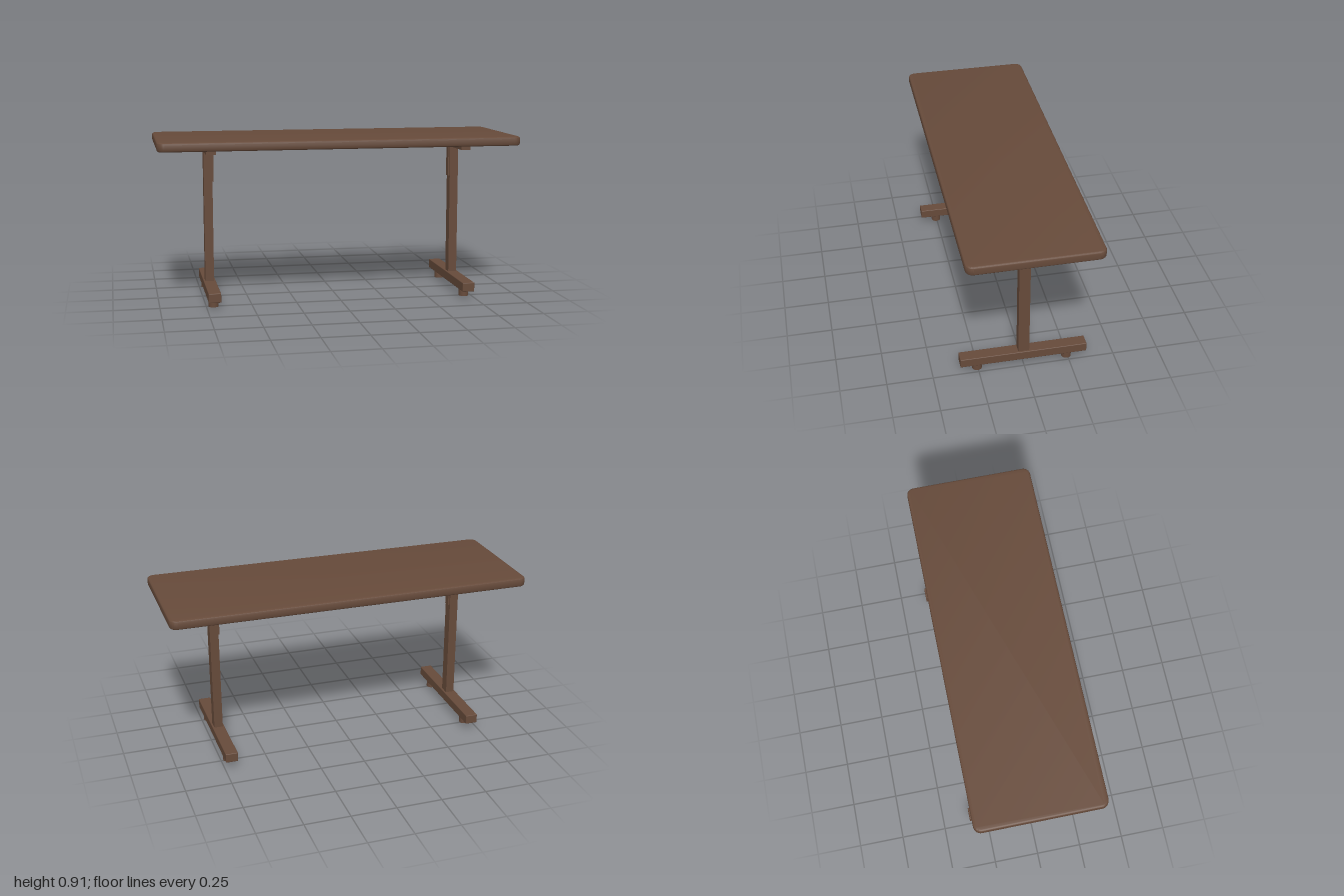
import * as THREE from 'three';
import { RoundedBoxGeometry } from 'three/addons/geometries/RoundedBoxGeometry.js';
import { toCreasedNormals } from 'three/addons/utils/BufferGeometryUtils.js';

const wood = new THREE.MeshStandardMaterial({ color: 0x664a3a });
wood.name = 'brown wood';

function add(parent, name, geometry, x, y, z) {
  const mesh = new THREE.Mesh(geometry, wood);
  mesh.name = name;
  mesh.position.set(x, y, z);
  parent.add(mesh);
  return mesh;
}

// Slab with rounded corners and softened top and bottom edges
function slabGeometry(width, height, depth, radius, bevel) {
  const w = width / 2 - bevel, d = depth / 2 - bevel, r = radius - bevel;
  const shape = new THREE.Shape();
  shape.absarc(w - r, d - r, r, 0, Math.PI / 2);
  shape.absarc(-w + r, d - r, r, Math.PI / 2, Math.PI);
  shape.absarc(-w + r, -d + r, r, Math.PI, Math.PI * 1.5);
  shape.absarc(w - r, -d + r, r, Math.PI * 1.5, Math.PI * 2);
  shape.closePath();
  const g = new THREE.ExtrudeGeometry(shape, {
    depth: height - 2 * bevel, bevelEnabled: true, bevelSize: bevel,
    bevelThickness: bevel, bevelSegments: 4, curveSegments: 8,
  });
  g.rotateX(-Math.PI / 2);
  g.center();
  return toCreasedNormals(g, 0.6);
}

export function createModel() {
  const table = new THREE.Group();
  table.name = 'table';

  add(table, 'tabletop', slabGeometry(2, 0.05, 0.706, 0.04, 0.012), 0, 0.882, 0);

  // Rail under the top joining the two legs
  add(table, 'rail', new THREE.BoxGeometry(1.375, 0.026, 0.06), 0, 0.845, 0);

  for (const side of [-1, 1]) {
    const leg = new THREE.Group();
    leg.name = side > 0 ? 'leftLeg' : 'rightLeg';
    table.add(leg);
    const x = side * 0.71;

    add(leg, 'post', new THREE.BoxGeometry(0.048, 0.75, 0.06), x, 0.46, 0);
    add(leg, 'crossbar', new THREE.BoxGeometry(0.054, 0.029, 0.506), x, 0.8435, 0);
    add(leg, 'footBar', new RoundedBoxGeometry(0.068, 0.052, 0.698, 2, 0.004), x, 0.066, 0);

    // Levelling feet
    for (const z of [0.254, -0.243]) {
      add(leg, 'foot', new THREE.CylinderGeometry(0.027, 0.027, 0.042, 24), x, 0.021, z);
    }

    // Thin angle bracket between post and rail
    add(leg, 'bracketUpright', new THREE.BoxGeometry(0.008, 0.175, 0.04), side * 0.682, 0.744, 0);
    add(leg, 'bracketArm', new THREE.BoxGeometry(0.176, 0.006, 0.04), side * 0.598, 0.829, 0);
  }
  return table;
}
